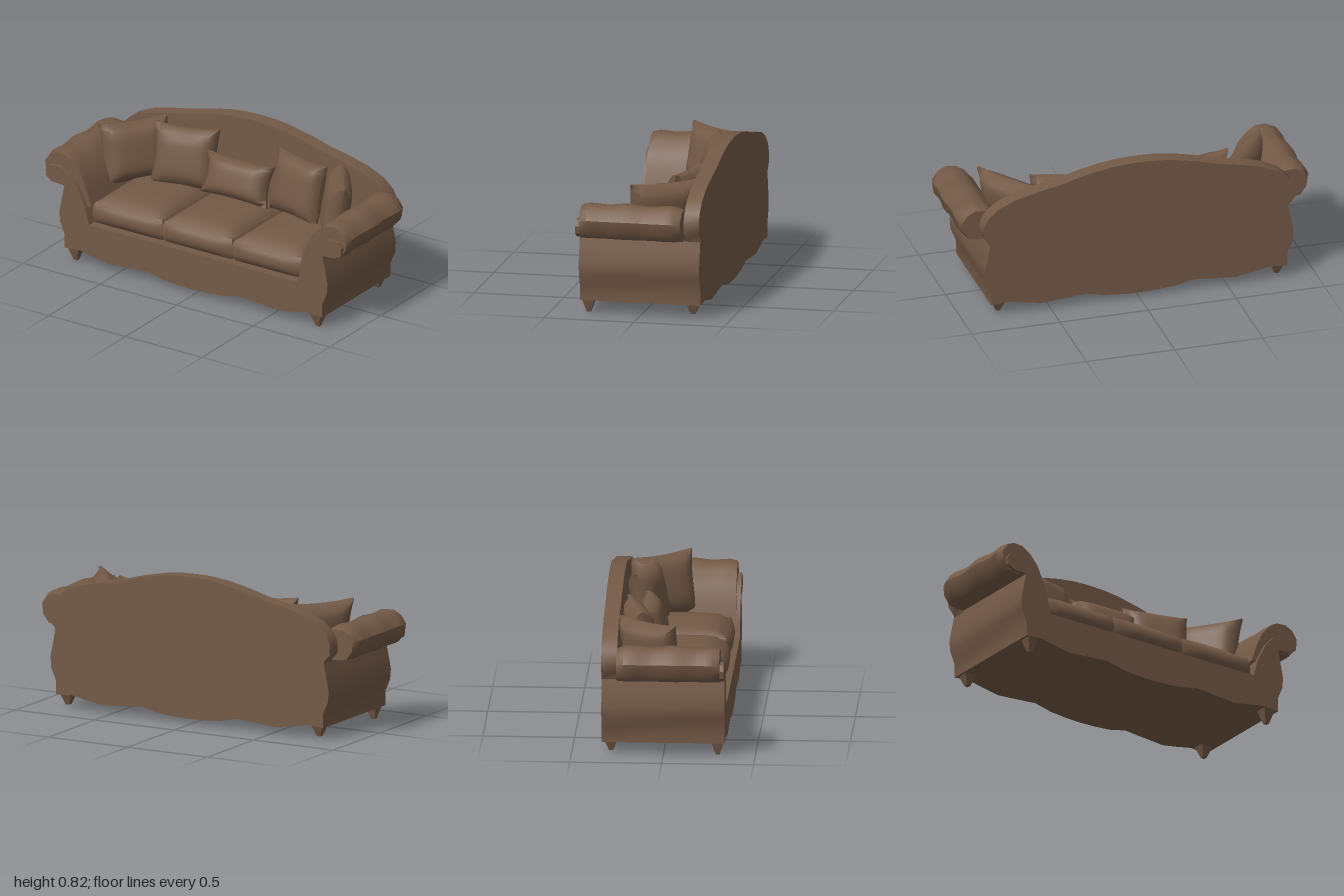
import * as THREE from 'three';
import { mergeVertices, toCreasedNormals } from 'three/addons/utils/BufferGeometryUtils.js';

const upholstery = new THREE.MeshStandardMaterial({ color: 0x735946 });
upholstery.name = 'brown upholstery';

// Mesh with smooth normals that stay sharp at strong edges
function part(name, geometry, crease = 0.7) {
  const mesh = new THREE.Mesh(toCreasedNormals(geometry, crease), upholstery);
  mesh.name = name;
  return mesh;
}

// Front outline extruded from z0 to z1
function slab(points, z0, z1, steps = 1) {
  const shape = new THREE.Shape(points.map(([x, y]) => new THREE.Vector2(x, y)));
  const geometry = new THREE.ExtrudeGeometry(shape, { depth: z1 - z0, steps, bevelEnabled: false });
  return geometry.translate(0, 0, z0);
}

const mirror = (points) => points.map(([x, y]) => [-x, y]);
// Closes a half outline, running from the centre bottom to the centre top
const symmetric = (half) => half.concat(mirror(half).reverse().filter(([x]) => x !== 0));

// Move every vertex by a rule
function reshape(geometry, rule) {
  const p = geometry.attributes.position;
  const v = new THREE.Vector3();
  for (let i = 0; i < p.count; i++) {
    rule(v.fromBufferAttribute(p, i));
    p.setXYZ(i, v.x, v.y, v.z);
  }
  return geometry;
}

// Soft pillow: full in the middle, thin at the rim, with pulled-out corners
function pillow(name, w, h, d, position, lean, turn) {
  let geometry = new THREE.BoxGeometry(2, 2, 2, 10, 10, 1);
  reshape(geometry, (v) => {
    const { x, y } = v;
    const puff = Math.pow((1 - x ** 4) * (1 - y ** 4), 0.6);
    v.set(
      x * (w / 2) * (0.92 + 0.08 * y * y),
      y * (h / 2) * (0.92 + 0.08 * x * x),
      v.z * (0.008 + (d / 2) * puff)
    );
  });
  geometry.deleteAttribute('uv');
  geometry.deleteAttribute('normal');
  geometry = mergeVertices(geometry);
  const mesh = part(name, geometry, 0.9);
  mesh.rotation.set(lean, turn, 0, 'YXZ');
  mesh.position.set(...position);
  return mesh;
}

// Box seat cushion with a crowned top and a bulging front
function seatCushion(name, x) {
  const geometry = new THREE.BoxGeometry(2, 2, 2, 10, 6, 10);
  reshape(geometry, (v) => {
    const { x: a, y: b, z: c } = v;
    const across = 1 - a ** 4, along = 1 - c ** 4;
    const round = 1 - 0.05 * Math.abs(b) ** 4;
    v.x = a * 0.228 * round;
    v.y = 0.305 + b * 0.06 + (b > 0 ? b * 0.045 * Math.sqrt(across * along) : 0);
    v.z = 0.03 + c * 0.265 * round + (c > 0 ? c * 0.02 * across * (1 - b * b) : 0);
  });
  const mesh = part(name, geometry, 0.8);
  mesh.position.x = x;
  return mesh;
}

export function createModel() {
  const sofa = new THREE.Group();
  sofa.name = 'sofa';

  // Base with a wavy lower edge and flared sides
  const base = symmetric([
    [0, 0.03], [0.1, 0.033], [0.2, 0.042], [0.3, 0.065], [0.42, 0.055], [0.55, 0.045],
    [0.65, 0.062], [0.74, 0.08], [0.84, 0.072], [0.84, 0.15], [0.87, 0.22], [0.875, 0.28],
    [0.855, 0.38], [0.84, 0.45], [0.8, 0.48], [0.74, 0.4], [0.7, 0.31], [0.68, 0.245], [0, 0.245],
  ]);
  sofa.add(part('base', slab(base, -0.335, 0.335)));

  // Camel-shaped back
  const back = symmetric([
    [0, 0.2], [0.84, 0.2], [0.845, 0.44], [0.88, 0.48], [0.882, 0.54], [0.86, 0.59],
    [0.8, 0.645], [0.7, 0.69], [0.58, 0.72], [0.45, 0.745], [0.32, 0.78], [0.2, 0.805],
    [0.1, 0.817], [0, 0.82],
  ]);
  sofa.add(part('back', slab(back, -0.335, -0.25)));

  // Rolled arms and their scrolled front panels
  const roll = [
    [0.68, 0.34], [0.71, 0.43], [0.75, 0.52], [0.8, 0.585], [0.85, 0.62], [0.91, 0.625],
    [0.96, 0.6], [0.993, 0.55], [0.985, 0.49], [0.945, 0.445], [0.89, 0.437], [0.84, 0.44], [0.8, 0.36],
  ];
  const scroll = [
    [0.68, 0.24], [0.705, 0.34], [0.76, 0.45], [0.82, 0.515], [0.88, 0.543], [0.94, 0.54],
    [0.965, 0.51], [0.96, 0.47], [0.92, 0.445], [0.84, 0.44], [0.84, 0.24],
  ];
  for (const [side, s] of [['left', 1], ['right', -1]]) {
    const outline = s > 0 ? roll : mirror(roll);
    const arm = reshape(slab(outline, -0.25, 0.312, 14), (v) => {
      const end = Math.max(0, Math.abs(v.z - 0.03) - 0.21) / 0.07;
      const swell = 1 + 0.05 * Math.sin(v.z * 26) - 0.13 * end * end;
      const upper = THREE.MathUtils.smoothstep(v.y, 0.42, 0.56);
      v.y = 0.52 + (v.y - 0.52) * (1 + (swell - 1) * upper);
      const x = Math.abs(v.x);
      if (x > 0.88) v.x = s * (0.88 + (x - 0.88) * swell);
    });
    sofa.add(part(`${side}ArmRoll`, arm));
    sofa.add(part(`${side}ArmFront`, slab(s > 0 ? scroll : mirror(scroll), 0.28, 0.335)));

    // Throw pillows: one against the back, one turned into the corner
    sofa.add(pillow(`${side}BackPillow`, 0.38, 0.35, 0.13, [s * 0.37, 0.555, -0.14], -0.22, -s * 0.25));
    sofa.add(pillow(`${side}CornerPillow`, 0.4, 0.35, 0.13, [s * 0.655, 0.545, -0.08], -0.2, -s * 0.96));

    // Short tapered feet
    for (const [end, z, h] of [['Front', 0.295, 0.08], ['Back', -0.285, 0.065]]) {
      const foot = part(`${side}${end}Foot`, new THREE.CylinderGeometry(0.05, 0.016, h, 4).rotateY(Math.PI / 4));
      foot.position.set(s * 0.79, h / 2 + (end === 'Front' ? 0 : 0.015), z);
      sofa.add(foot);
    }
  }

  // Three seat cushions
  ['right', 'middle', 'left'].forEach((n, i) => sofa.add(seatCushion(`${n}SeatCushion`, (i - 1) * 0.456)));

  // Small lumbar pillow in the middle
  sofa.add(pillow('lumbarPillow', 0.43, 0.23, 0.12, [0, 0.525, -0.1], -0.35, 0));

  return sofa;
}
